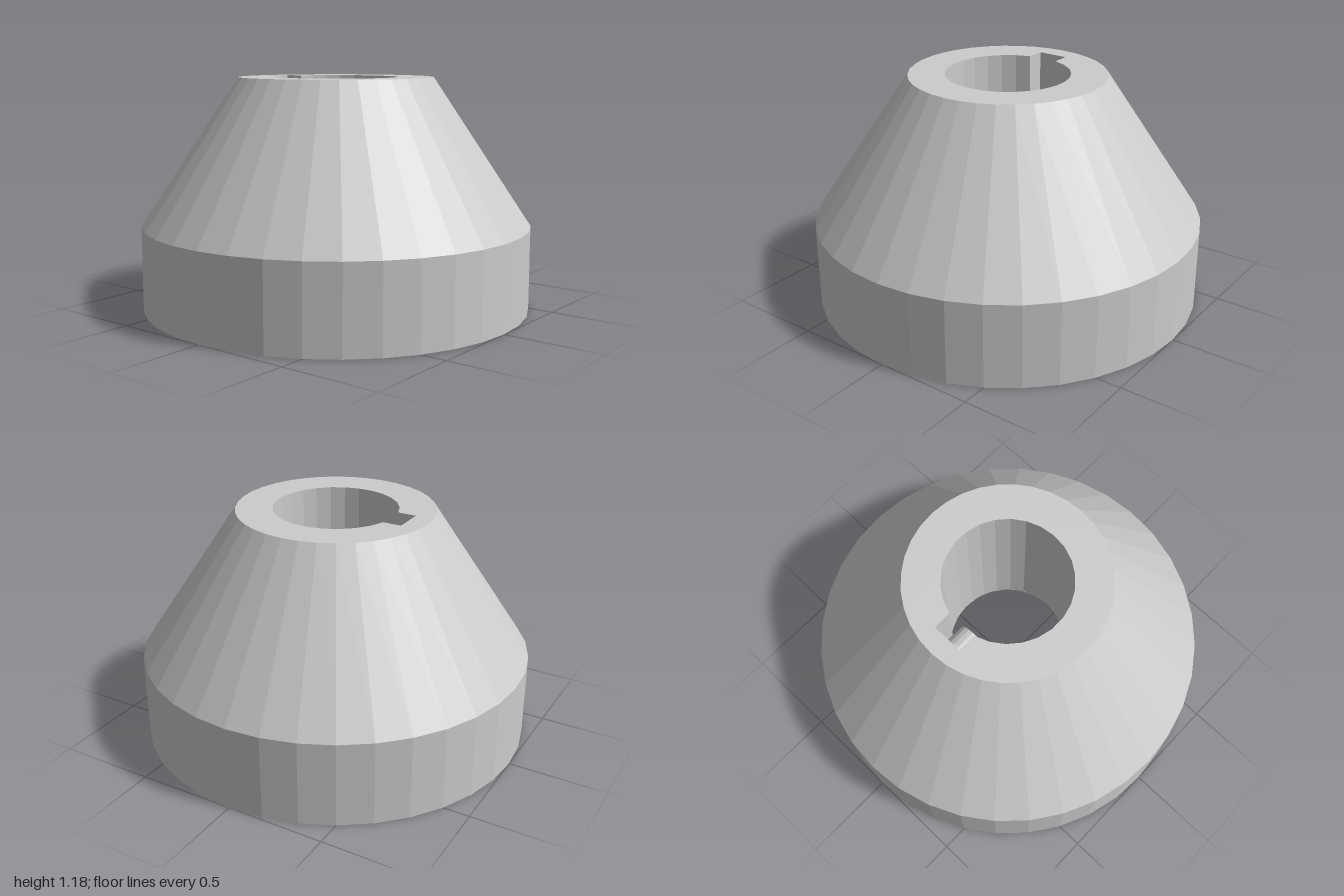
import * as THREE from 'three';

const MAT = new THREE.MeshStandardMaterial({ color: 0xcccccc, flatShading: true, side: THREE.DoubleSide });
const V = (r, a) => new THREE.Vector2(r * Math.cos(a), r * Math.sin(a));

const circle = (r, n) => Array.from({ length: n }, (_, i) => V(r, (i / n) * Math.PI * 2));

// Flat horizontal face with one hole, facing up or down; plan points use y = -z
function plate(outer, hole, y, up) {
  const shape = new THREE.Shape(outer);
  shape.holes.push(new THREE.Path(hole));
  const g = new THREE.ShapeGeometry(shape);
  g.rotateX(up ? -Math.PI / 2 : Math.PI / 2);
  g.translate(0, y, 0);
  return g;
}

// Vertical wall along a closed anticlockwise outline, facing inwards
function innerWall(points, y0, y1) {
  const pos = [];
  points.forEach((a, i) => {
    const b = points[(i + 1) % points.length];
    const a0 = [a.x, y0, -a.y], a1 = [a.x, y1, -a.y];
    const b0 = [b.x, y0, -b.y], b1 = [b.x, y1, -b.y];
    pos.push(...b0, ...a0, ...a1, ...b0, ...a1, ...b1);
  });
  const g = new THREE.BufferGeometry();
  g.setAttribute('position', new THREE.Float32BufferAttribute(pos, 3));
  g.computeVertexNormals();
  return g;
}

export function createModel() {
  const group = new THREE.Group();
  const add = (name, geometry) => {
    const mesh = new THREE.Mesh(geometry, MAT);
    mesh.name = name;
    group.add(mesh);
    return mesh;
  };

  const SEG = 36, TOP = 1.18, SHOULDER = 0.43, RECESS = 0.285;
  const BORE = 0.315, KEY = 0.08, KEY_BACK = 0.4, PIN_Y = 0.865;

  // Internal gear outline: narrow roots between broad rounded teeth
  const TEETH = 40;
  const toothProfile = [[-0.1, 0.8], [0.1, 0.8], [0.2, 0.765], [0.33, 0.738], [0.5, 0.73], [0.67, 0.738], [0.8, 0.765]];
  const gear = [];
  for (let i = 0; i < TEETH; i++)
    for (const [f, r] of toothProfile) gear.push(V(r, ((i + f) / TEETH) * Math.PI * 2));

  // Bore outline, and the same with the keyway cut at the back
  const half = Math.asin(KEY / BORE);
  const bore = [];
  for (let i = 0; i <= 24; i++)
    bore.push(V(BORE, Math.PI / 2 + half + (i / 24) * (Math.PI * 2 - 2 * half)));
  const keyedBore = [...bore, new THREE.Vector2(KEY, KEY_BACK), new THREE.Vector2(-KEY, KEY_BACK)];
  const plainBore = [...bore, new THREE.Vector2(0, BORE)];

  // Outer rim and conical body
  add('outerBody', new THREE.LatheGeometry(
    [[1, 0], [1, SHOULDER], [0.5, TOP]].map(([x, y]) => new THREE.Vector2(x, y)), SEG));

  // Top face and bore
  add('topFace', plate(circle(0.5, SEG), keyedBore, TOP, true));
  add('keyedBoreWall', innerWall(keyedBore, PIN_Y, TOP));
  add('boreWall', innerWall(plainBore, RECESS, PIN_Y));

  // Toothed recess in the underside
  add('bottomFace', plate(circle(1, SEG), gear, 0, false));
  add('gearTeeth', innerWall(gear, 0, RECESS));
  add('recessCeiling', plate(gear, circle(BORE, 24), RECESS, false));

  // Round pin lying at the foot of the keyway
  const pin = add('keyPin', new THREE.CylinderGeometry(KEY, KEY, 0.155, 20));
  pin.rotation.x = Math.PI / 2;
  pin.position.set(0, PIN_Y, -0.3225);

  return group;
}
